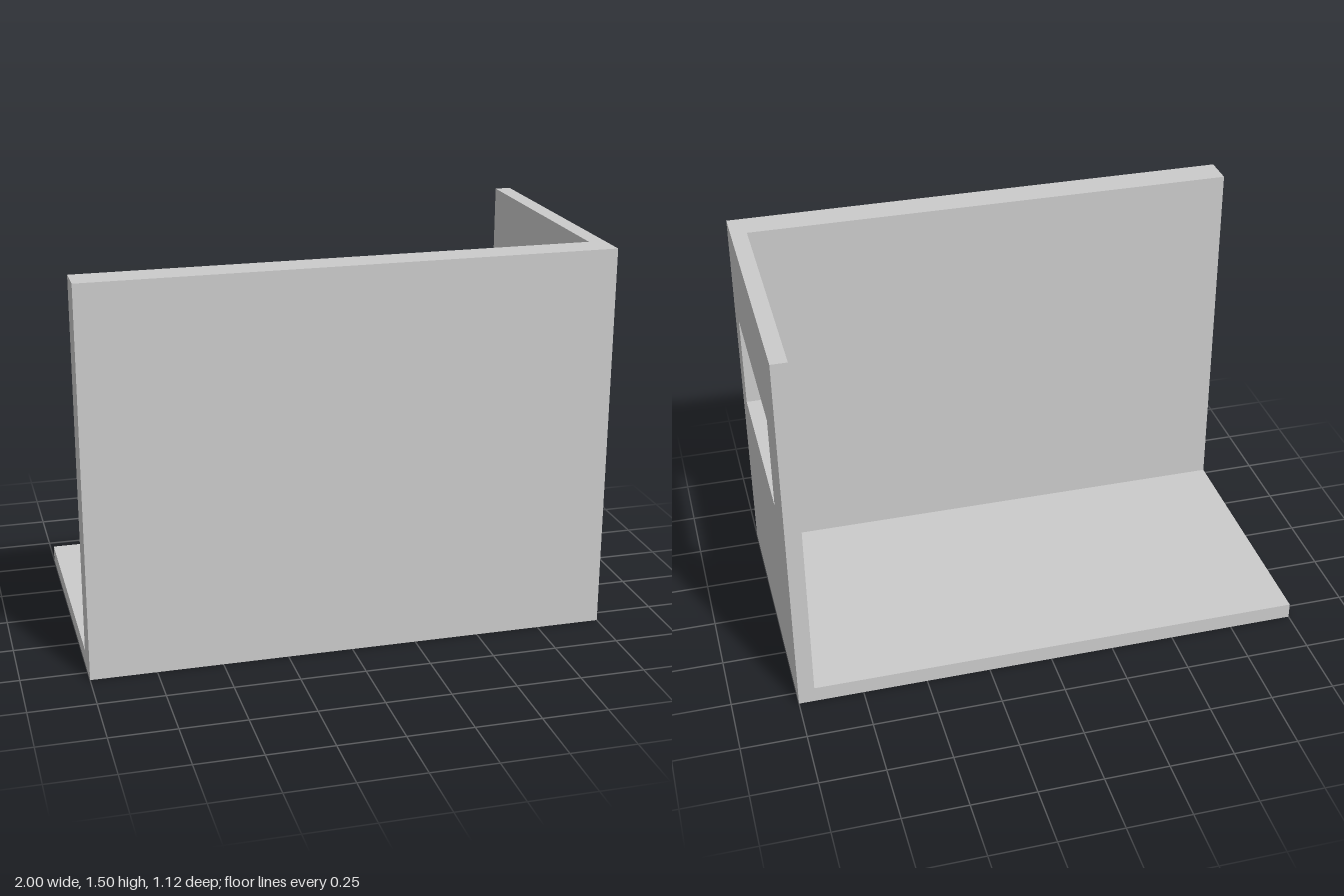
import * as THREE from 'three';

const material = new THREE.MeshStandardMaterial({ color: 0xcccccc, flatShading: true });

// Box given by its minimum and maximum corners
function slab(name, min, max) {
  const size = max.map((v, i) => v - min[i]);
  const mesh = new THREE.Mesh(new THREE.BoxGeometry(...size), material);
  mesh.position.set(...min.map((v, i) => v + size[i] / 2));
  mesh.name = name;
  return mesh;
}

export function createModel() {
  const W = 1, H = 1.5, D = 0.5625;      // half width, height, half depth
  const thin = 0.0625, thick = 0.125;    // floor and side wall, front wall
  const inner = D - thick;               // inner face of the front wall

  const room = new THREE.Group();
  room.name = 'roomCorner';

  // Thick front wall and thin floor behind it
  room.add(slab('frontWall', [-W, 0, inner], [W, H, D]));
  room.add(slab('floor', [-W, 0, -D], [W - thin, thin, inner]));

  // Side wall outline (u = -z); the window opening runs up to the front wall
  const sill = 0.75, lintel = 1.125, jamb = 0.3125;
  const outline = new THREE.Shape([
    [-inner, 0], [D, 0], [D, H], [-inner, H],
    [-inner, lintel], [jamb, lintel], [jamb, sill], [-inner, sill],
  ].map(([u, y]) => new THREE.Vector2(u, y)));
  const geometry = new THREE.ExtrudeGeometry(outline, { depth: thin, bevelEnabled: false });
  geometry.rotateY(Math.PI / 2);
  geometry.translate(W - thin, 0, 0);
  const sideWall = new THREE.Mesh(geometry, material);
  sideWall.name = 'sideWallWithWindow';
  room.add(sideWall);

  return room;
}
